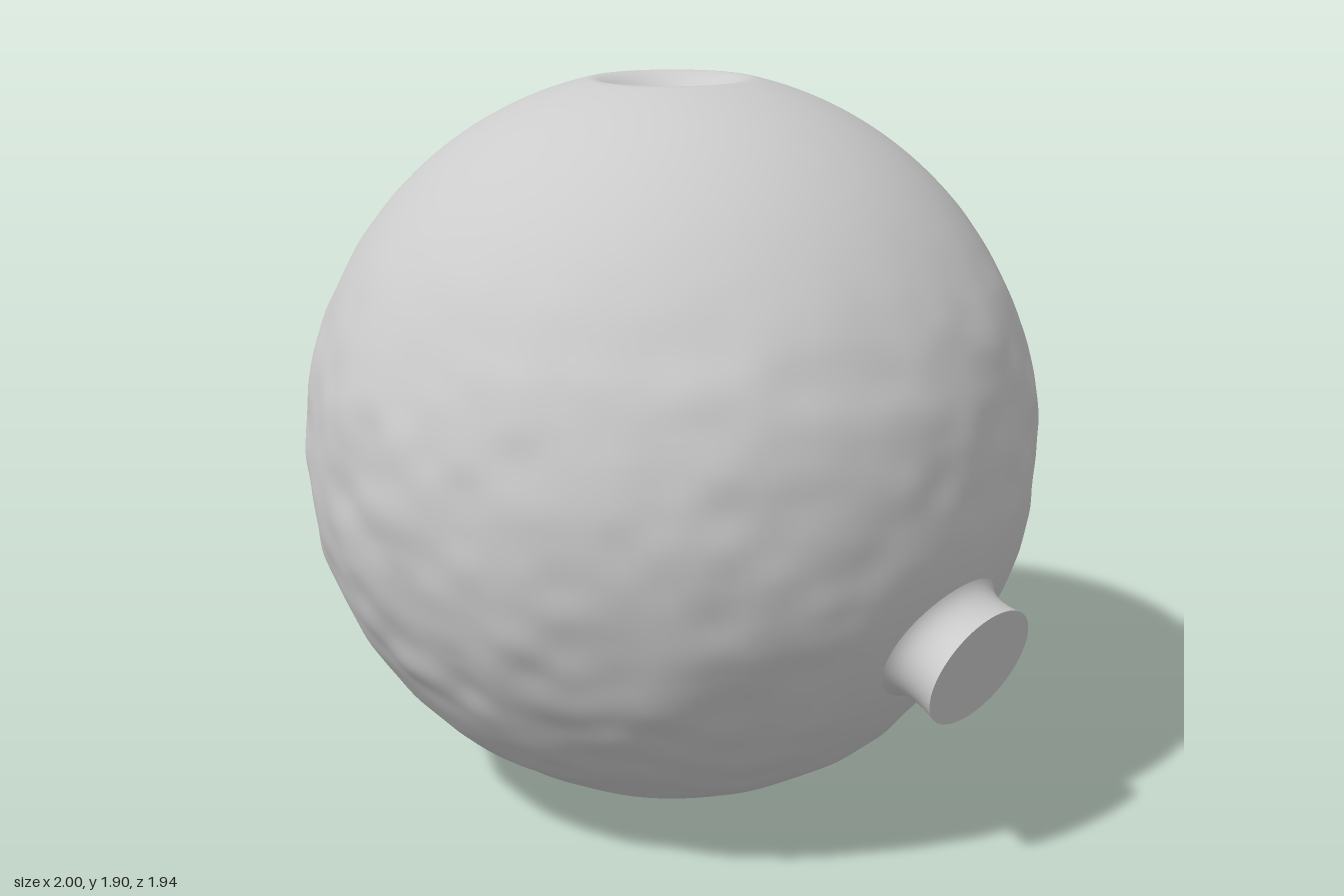
import * as THREE from 'three';
import { mergeVertices } from 'three/addons/utils/BufferGeometryUtils.js';

const CENTER = new THREE.Vector3(-0.03, 0.965, 0);
const RADIUS = 0.963;

// Seeded smooth value noise, range -1..1
function hash(x, y, z) {
  const s = Math.sin(x * 127.1 + y * 311.7 + z * 74.7 + 5.3) * 43758.5453;
  return (s - Math.floor(s)) * 2 - 1;
}
function noise(x, y, z) {
  const i = Math.floor(x), j = Math.floor(y), k = Math.floor(z);
  const ease = (t) => t * t * (3 - 2 * t);
  const u = ease(x - i), v = ease(y - j), w = ease(z - k);
  let sum = 0;
  for (let a = 0; a < 2; a++)
    for (let b = 0; b < 2; b++)
      for (let c = 0; c < 2; c++)
        sum += hash(i + a, j + b, k + c) * (a ? u : 1 - u) * (b ? v : 1 - v) * (c ? w : 1 - w);
  return sum;
}

// Round body: uneven skin around the belly, smooth crown with a funnel dimple
function createBody(material) {
  let geometry = new THREE.SphereGeometry(1, 180, 180);
  geometry.deleteAttribute('uv');
  geometry.deleteAttribute('normal');
  geometry = mergeVertices(geometry, 1e-5);
  const pos = geometry.attributes.position;
  const p = new THREE.Vector3();
  const stubDir = new THREE.Vector3(0.925, -0.38, -0.02).normalize();
  for (let i = 0; i < pos.count; i++) {
    p.fromBufferAttribute(pos, i).normalize();
    const crown = 1 - THREE.MathUtils.smoothstep(p.y, 0.2, 0.75);
    const base = THREE.MathUtils.smoothstep(p.y, -1, -0.75);
    const nearStub = THREE.MathUtils.smoothstep(p.distanceTo(stubDir), 0.22, 0.5);
    const rough = crown * base * nearStub;
    const bump = 0.008 * noise(p.x * 4, p.y * 4, p.z * 4)
      + 0.007 * noise(p.x * 9 + 3, p.y * 11, p.z * 9);
    const r = Math.hypot(p.x, p.z) * RADIUS;
    p.multiplyScalar(RADIUS + bump * rough);
    if (p.y > 0 && r < 0.21) p.y -= 0.21 * Math.pow(1 - r / 0.21, 1.45);
    p.add(CENTER);
    pos.setXYZ(i, p.x, p.y, p.z);
  }
  geometry.computeVertexNormals();
  const body = new THREE.Mesh(geometry, material);
  body.name = 'roundBody';
  return body;
}

// Short oval stub that flares into the body, cut flat at the end
function createStub(material) {
  const group = new THREE.Group();
  group.name = 'sideStub';
  const SEG = 64, RINGS = 14;
  const tilt = -0.27;
  const faceCenter = new THREE.Vector3(0.96, 0.56, -0.02);
  const up = new THREE.Vector3(-Math.sin(tilt), Math.cos(tilt), 0);
  const oval = (angle, scale) => faceCenter.clone()
    .addScaledVector(up, Math.sin(angle) * 0.152 * scale)
    .add(new THREE.Vector3(0, 0, -Math.cos(angle) * 0.2 * scale));
  const onBody = (p, radius) => p.sub(CENTER).setLength(radius).add(CENTER);

  const wall = [], index = [], cap = [faceCenter.x, faceCenter.y, faceCenter.z], capIndex = [];
  for (let j = 0; j < SEG; j++) {
    const angle = (j / SEG) * Math.PI * 2;
    const edge = oval(angle, 1);
    const curve = new THREE.QuadraticBezierCurve3(
      onBody(oval(angle, 1.35), RADIUS - 0.006), onBody(oval(angle, 0.95), RADIUS + 0.012), edge);
    for (let i = 0; i <= RINGS; i++) wall.push(...curve.getPoint(i / RINGS).toArray());
    cap.push(...edge.toArray());
    const next = (j + 1) % SEG;
    capIndex.push(0, j + 1, next + 1);
    for (let i = 0; i < RINGS; i++) {
      const a = j * (RINGS + 1) + i, b = next * (RINGS + 1) + i;
      index.push(a, b, b + 1, a, b + 1, a + 1);
    }
  }
  const addPart = (name, points, faces) => {
    const geometry = new THREE.BufferGeometry();
    geometry.setAttribute('position', new THREE.Float32BufferAttribute(points, 3));
    geometry.setIndex(faces);
    geometry.computeVertexNormals();
    const mesh = new THREE.Mesh(geometry, material);
    mesh.name = name;
    group.add(mesh);
  };
  addPart('stubWall', wall, index);
  addPart('stubEnd', cap, capIndex);
  return group;
}

export function createModel() {
  const model = new THREE.Group();
  model.name = 'roundVesselWithStub';
  const material = new THREE.MeshStandardMaterial({ color: 0xcccccc });
  model.add(createBody(material), createStub(material));
  return model;
}
